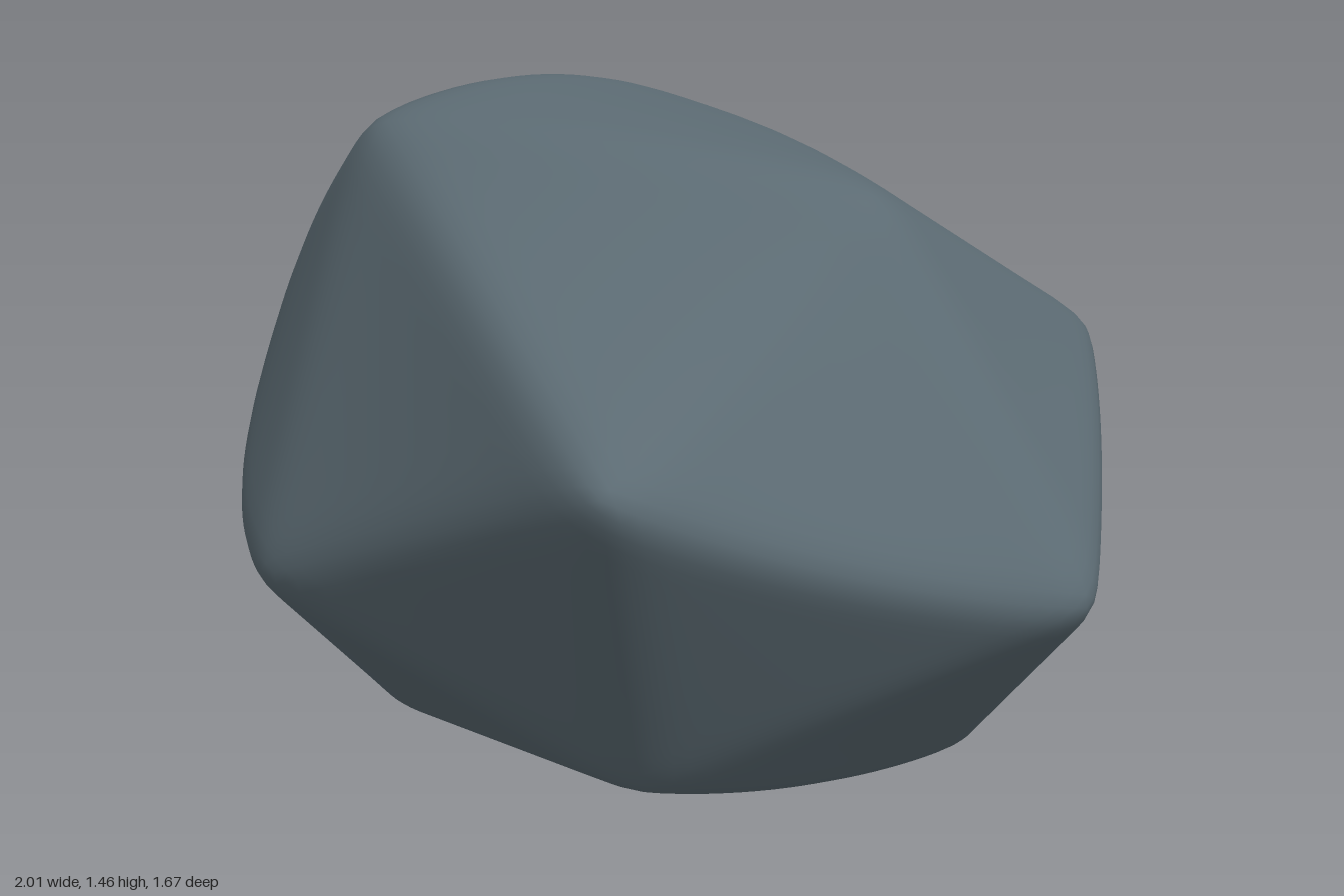
import * as THREE from 'three';
import { mergeVertices } from 'three/addons/utils/BufferGeometryUtils.js';

// Corners of the boulder: an irregular icosahedron
const CORNERS = {
  A: [-1, 0.82, -0.08], B: [1, 0.69, 0.22], C: [0.42, 0.96, 0.83], D: [-0.51, 0.56, 0.57],
  E: [0.27, 0.26, 0.46], F: [-0.66, 0.01, -0.04], G: [0.56, 0.09, -0.37], H: [-0.14, 0.42, -0.83],
  I: [0.69, 0.95, -0.63], J: [0.52, 1.32, 0.08], K: [-0.43, 1.4, 0.28], L: [-0.22, 1.33, -0.58],
};
const FACES = 'JKL KJC JLI KLA JCB JBI KCD KDA LAH LHI CBE CED BIG BGE DEF DFA AFH HGI FGE FGH'.split(' ');
// Edges that swell outwards or sink inwards at their middle
const SWELL = {
  AD: [-0.04, -0.07, 0.06], AK: [-0.03, 0.03, -0.01], AL: [-0.04, 0.04, -0.02], AF: [-0.04, -0.02, 0],
  KL: [0, 0.09, 0], JK: [0, 0.03, 0.05], JL: [0, 0.03, 0], BI: [0.015, 0.04, 0], EG: [0.02, -0.03, 0.02],
  HI: [0, 0, -0.02], BC: [-0.03, -0.05, -0.03], CJ: [-0.02, -0.02, -0.01], CD: [0, 0, -0.03],
  GH: [0, 0.04, 0.01], HL: [0, 0, 0.03],
};

const STEPS = 24, SMOOTHING = 4, PASSES = 5;
const CENTER = new THREE.Vector3(0, 0.75, 0);
const vec = (a) => new THREE.Vector3(...a);

// Divide every face into small triangles
function buildFaces(corners) {
  const out = [];
  for (const face of FACES) {
    let names = face.split('');
    let [a, b, c] = names.map((n) => corners[n]);
    const normal = b.clone().sub(a).cross(c.clone().sub(a));
    if (normal.dot(a.clone().sub(CENTER)) < 0) {
      names = [names[0], names[2], names[1]];
      [b, c] = [c, b];
    }
    const point = (i, j) => {
      const w = [1 - (i + j) / STEPS, i / STEPS, j / STEPS];
      const p = new THREE.Vector3();
      [a, b, c].forEach((v, k) => p.addScaledVector(v, w[k]));
      for (let k = 0; k < 3; k++) {
        const m = (k + 1) % 3;
        const swell = SWELL[[names[k], names[m]].sort().join('')];
        if (swell) p.addScaledVector(vec(swell), 4 * w[k] * w[m]);
      }
      return p.toArray();
    };
    for (let i = 0; i < STEPS; i++) {
      for (let j = 0; j < STEPS - i; j++) {
        out.push(...point(i, j), ...point(i + 1, j), ...point(i, j + 1));
        if (i + j < STEPS - 1) out.push(...point(i + 1, j), ...point(i + 1, j + 1), ...point(i, j + 1));
      }
    }
  }
  const g = new THREE.BufferGeometry();
  g.setAttribute('position', new THREE.Float32BufferAttribute(out, 3));
  return mergeVertices(g, 1e-4);
}

// Round edges and corners by averaging neighbours
function soften(g) {
  const pos = g.attributes.position, index = g.index.array;
  const near = Array.from({ length: pos.count }, () => new Set());
  for (let t = 0; t < index.length; t += 3) {
    for (let k = 0; k < 3; k++) {
      near[index[t + k]].add(index[t + (k + 1) % 3]).add(index[t + (k + 2) % 3]);
    }
  }
  for (let n = 0; n < SMOOTHING; n++) {
    const old = pos.array.slice();
    near.forEach((set, i) => {
      for (let k = 0; k < 3; k++) {
        let sum = old[i * 3 + k];
        for (const j of set) sum += old[j * 3 + k];
        pos.array[i * 3 + k] = sum / (set.size + 1);
      }
    });
  }
}

// Index of the vertex nearest to a point
function nearest(pos, target) {
  const p = new THREE.Vector3();
  let best = Infinity, id = 0;
  for (let i = 0; i < pos.count; i++) {
    const d = p.fromBufferAttribute(pos, i).distanceToSquared(target);
    if (d < best) { best = d; id = i; }
  }
  return id;
}

// Move the control corners out until the rounded ones reach their places
function boulderGeometry() {
  const control = {};
  for (const n in CORNERS) control[n] = vec(CORNERS[n]);
  let g;
  for (let pass = 0; pass < PASSES; pass++) {
    g = buildFaces(control);
    const pos = g.attributes.position, ids = {};
    for (const n in control) ids[n] = nearest(pos, control[n]);
    soften(g);
    for (const n in control) {
      control[n].add(vec(CORNERS[n])).sub(new THREE.Vector3().fromBufferAttribute(pos, ids[n]));
    }
  }
  g.computeVertexNormals();
  return g;
}

export function createModel() {
  const group = new THREE.Group();
  group.name = 'rock';
  const stone = new THREE.MeshStandardMaterial({ color: 0x5b6a72 });
  stone.name = 'slate stone';
  const boulder = new THREE.Mesh(boulderGeometry(), stone);
  boulder.name = 'boulder';
  group.add(boulder);
  return group;
}
